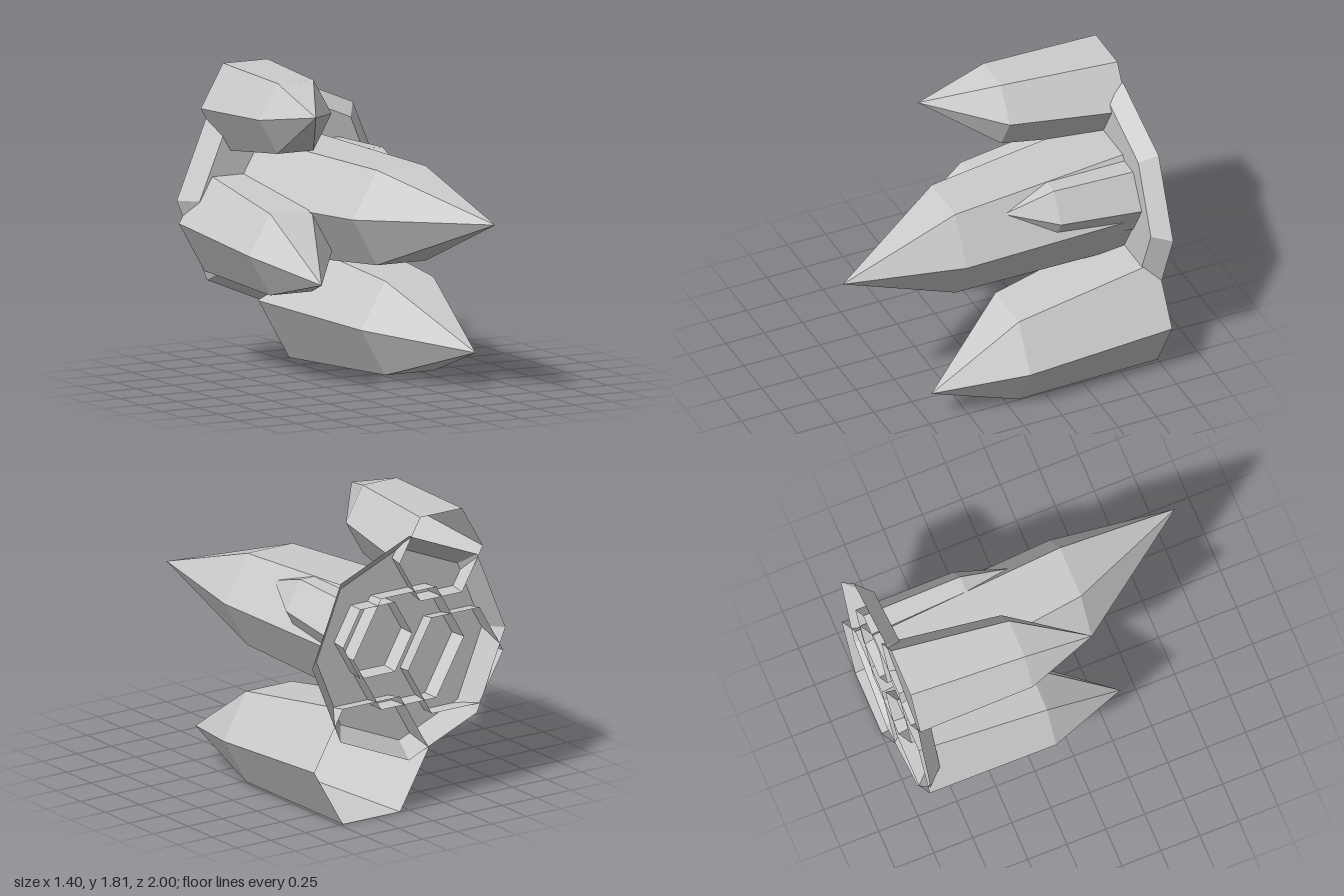
import * as THREE from 'three';

const material = new THREE.MeshStandardMaterial({ color: 0xcccccc, flatShading: true, side: THREE.DoubleSide });

// Open-backed prism: a back ring and a front ring [x, y, z, radius], closed by a fan to the tip
function shard(name, sides, back, front, tip) {
  const ring = ([x, y, z, r]) => Array.from({ length: sides }, (_, i) => {
    const a = (i / sides) * Math.PI * 2;
    return [x + r * Math.cos(a), y + r * Math.sin(a), z];
  });
  const b = ring(back), f = ring(front), pos = [];
  for (let i = 0; i < sides; i++) {
    const j = (i + 1) % sides;
    pos.push(...b[i], ...b[j], ...f[j], ...b[i], ...f[j], ...f[i]); // side wall
    pos.push(...f[i], ...f[j], ...tip);                             // facet of the point
  }
  const geometry = new THREE.BufferGeometry();
  geometry.setAttribute('position', new THREE.Float32BufferAttribute(pos, 3));
  geometry.computeVertexNormals();
  const mesh = new THREE.Mesh(geometry, material);
  mesh.name = name;
  return mesh;
}

export function createModel() {
  const group = new THREE.Group();
  group.name = 'crystalCluster';

  // Eight-sided bevelled base, its flat front closing the plate
  group.add(shard('basePlate', 8, [0, 1.01, -1, 0.7], [0, 1.01, -0.9, 0.6], [0, 1.01, -0.9]));

  // Six-sided crystals: root ring, shoulder ring, tip
  const crystals = [
    ['centreCrystal', [0.0, 1.01, -1, 0.4], [0.135, 1.04, 0.24, 0.33], [0.35, 1.08, 1]],
    ['topCrystal', [-0.235, 1.55, -1, 0.302], [-0.295, 1.59, -0.28, 0.245], [-0.4, 1.66, 0.16]],
    ['sideCrystal', [-0.34, 0.87, -1, 0.345], [-0.38, 0.795, -0.18, 0.283], [-0.45, 0.68, 0.32]],
    ['bottomCrystal', [0.27, 0.36, -1, 0.415], [0.362, 0.308, -0.07, 0.327], [0.5, 0.22, 0.49]],
    ['smallCrystal', [0.225, 1.1, -1, 0.25], [0.248, 1.16, -0.38, 0.207], [0.32, 1.245, -0.07]],
  ];
  for (const [name, root, shoulder, tip] of crystals) group.add(shard(name, 6, root, shoulder, tip));

  return group;
}
